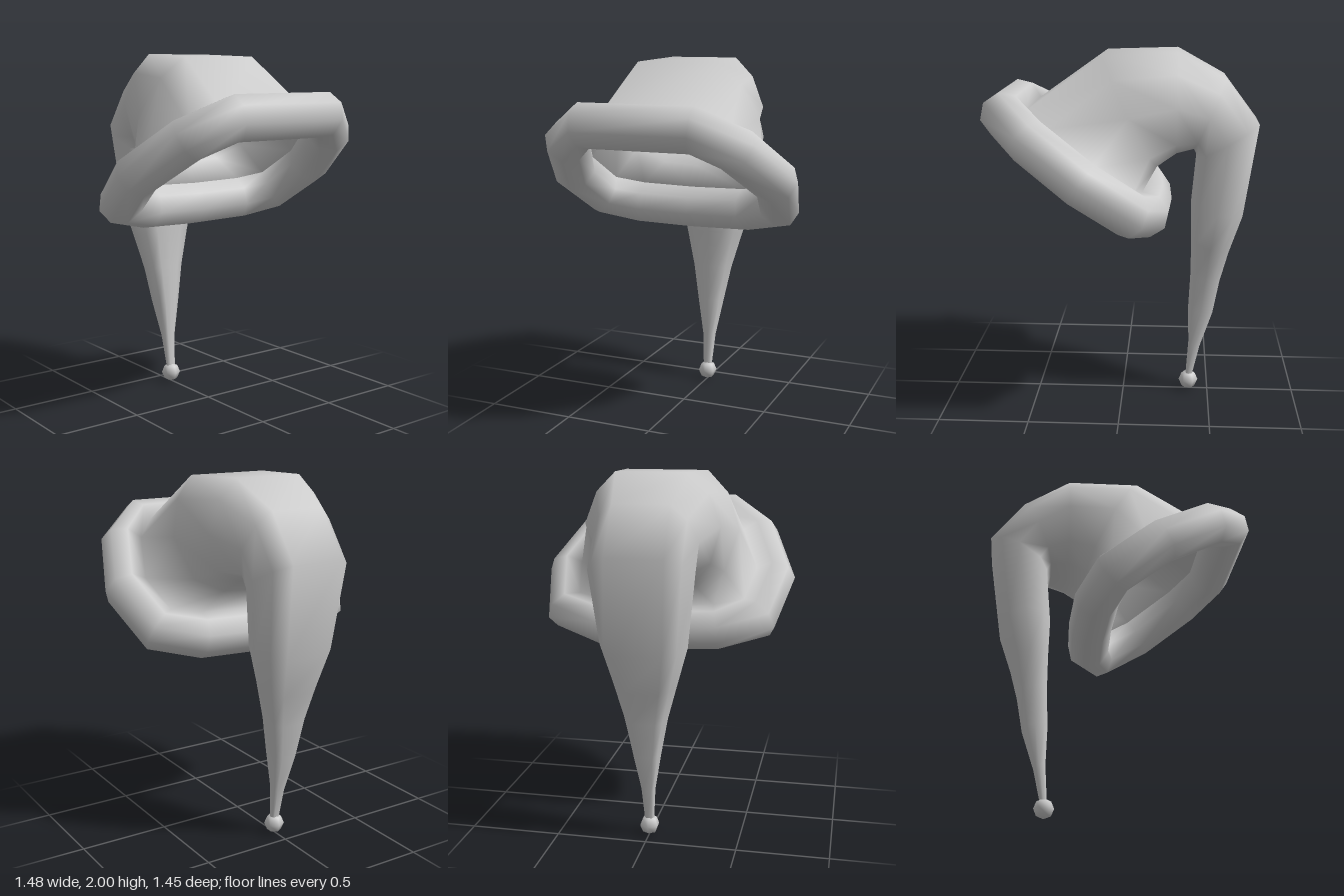
import * as THREE from 'three';

// Skins a list of equal-sized closed point loops with smooth normals
function loft(loops) {
  const n = loops[0].length, index = [];
  for (let i = 0; i < loops.length - 1; i++) {
    for (let j = 0; j < n; j++) {
      const a = i * n + j, b = i * n + (j + 1) % n;
      const c = a + n, d = b + n;
      index.push(a, c, b, b, c, d);
    }
  }
  const geometry = new THREE.BufferGeometry().setFromPoints(loops.flat());
  geometry.setIndex(index);
  geometry.computeVertexNormals();
  return geometry;
}

// Completes a half outline of [along, z] pairs by mirroring it in z
const mirrored = half =>
  [...half, ...half.filter(([, z]) => z > 0).map(([a, z]) => [a, -z]).reverse()];

export function createModel() {
  const group = new THREE.Group();
  const felt = new THREE.MeshStandardMaterial({ color: 0xcccccc, side: THREE.DoubleSide });
  felt.name = 'light grey felt';
  const add = (name, geometry) => {
    const mesh = new THREE.Mesh(geometry, felt);
    mesh.name = name;
    group.add(mesh);
    return mesh;
  };

  // Padded brim: a ring of corners in a tilted plane, each with a round tube section
  const u = new THREE.Vector3(0.822, 0.569, 0);
  const up = new THREE.Vector3(-0.569, 0.822, 0);
  const zAxis = new THREE.Vector3(0, 0, 1);
  const corners = mirrored(
    [[1.465, 0.3], [1.28, 0.48], [0.933, 0.6], [0.625, 0.54], [0.54, 0.32], [0.525, 0]]);
  const n = corners.length, tubeRadius = 0.124, tubeSides = 8;
  const brimPoint = ([a, z], i, angle) => {
    const p = corners[(i + n - 1) % n], q = corners[(i + 1) % n];
    const out = u.clone().multiplyScalar(q[1] - p[1])
      .addScaledVector(zAxis, p[0] - q[0]).normalize();
    return up.clone().multiplyScalar(1.028 + tubeRadius * Math.sin(angle))
      .addScaledVector(u, a).addScaledVector(zAxis, z)
      .addScaledVector(out, tubeRadius * Math.cos(angle));
  };
  // Loops run from the inner top of the tube, down through the opening and round to it again
  const brimLoops = Array.from({ length: tubeSides + 1 }, (_, j) => {
    const angle = Math.PI * (0.75 + 2 * j / tubeSides);
    return corners.map((corner, i) => brimPoint(corner, i, angle));
  });

  // Drooping cone: outer x, y, inner x, y and half width of each section
  const sections = [
    [0.10, 1.985, -0.20, 1.38, 0.43],
    [-0.30, 2.0, -0.30, 1.45, 0.365],
    [-0.56, 1.86, -0.39, 1.47, 0.28],
    [-0.745, 1.615, -0.41, 1.43, 0.28],
    [-0.67, 1.10, -0.385, 1.15, 0.235],
    [-0.60, 0.88, -0.39, 0.95, 0.175],
    [-0.555, 0.70, -0.39, 0.73, 0.12],
    [-0.52, 0.50, -0.38, 0.52, 0.08],
    [-0.45, 0.28, -0.385, 0.30, 0.04],
    [-0.405, 0.08, -0.37, 0.08, 0.025],
  ];
  const outline = mirrored(
    [[1, 0.54], [0.62, 0.82], [0, 1], [-0.72, 0.85], [-0.96, 0.48], [-1, 0]]);
  const coneLoops = sections.map(([ox, oy, ix, iy, w]) => outline.map(([a, z]) =>
    new THREE.Vector3(
      (ox + ix) / 2 + a * (ox - ix) / 2,
      (oy + iy) / 2 + a * (oy - iy) / 2,
      z * w)));

  // The cone grows out of the brim in one smooth skin
  add('hatBody', loft([...brimLoops, ...coneLoops]));

  // Small faceted bobble at the tip
  add('bobble', new THREE.SphereGeometry(0.056, 6, 4)).position.set(-0.387, 0.06, 0);

  return group;
}
